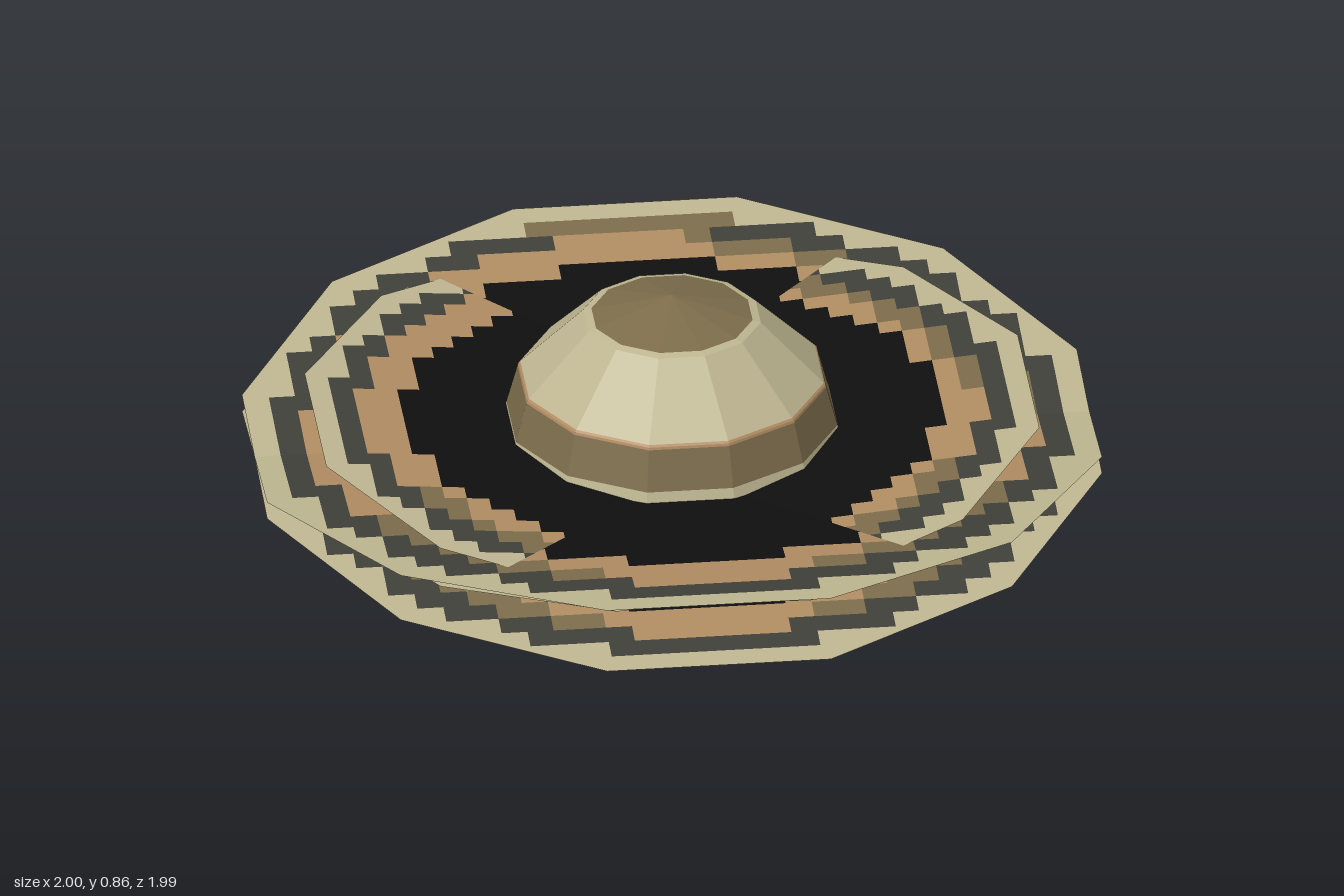
import * as THREE from 'three';

const mat = (name, color) => {
  const m = new THREE.MeshStandardMaterial({ color, side: THREE.DoubleSide });
  m.name = name;
  return m;
};

const R = 0.4275;      // planet radius, also its centre height
const SIDES = 12;
const CELL = 1 / 16;   // size of a square in the ring pattern
const TILT = 0.0825;   // ring tilt in radians

// Planet outline: straight segments between 30 degree steps, bottom to top
const knots = [];
for (let i = 0; i <= 6; i++) {
  const a = (i * Math.PI) / 6;
  knots.push(new THREE.Vector2(R * Math.sin(a), R - R * Math.cos(a)));
}

function pointAt(y) {
  for (let i = 0; i < 6; i++) {
    const a = knots[i], b = knots[i + 1];
    if (y <= b.y + 1e-6) return a.clone().lerp(b, (y - a.y) / (b.y - a.y));
  }
  return knots[6].clone();
}

// One faceted band of the planet between two heights
function planetBand(y0, y1) {
  const inner = knots.filter((k) => k.y > y0 + 1e-4 && k.y < y1 - 1e-4);
  const pts = [pointAt(y0), ...inner, pointAt(y1)];
  const g = new THREE.LatheGeometry(pts, SIDES, Math.PI / SIDES).toNonIndexed();
  g.computeVertexNormals();
  return g;
}

// Cut a polygon of [x, z] corners to the twelve-sided ring outline
function clipToOutline(poly) {
  for (let k = 0; k < SIDES && poly.length; k++) {
    const a = (k * 2 * Math.PI) / SIDES, nx = Math.cos(a), nz = Math.sin(a);
    const out = [];
    poly.forEach((p, i) => {
      const q = poly[(i + 1) % poly.length];
      const dp = p[0] * nx + p[1] * nz - 1, dq = q[0] * nx + q[1] * nz - 1;
      if (dp <= 1e-9) out.push(p);
      if ((dp < -1e-9 && dq > 1e-9) || (dp > 1e-9 && dq < -1e-9)) {
        const t = dp / (dp - dq);
        out.push([p[0] + (q[0] - p[0]) * t, p[1] + (q[1] - p[1]) * t]);
      }
    });
    poly = out;
  }
  return poly;
}

// Colour of a ring square, with x and z counted in squares
function ringColour(x, z) {
  const r = Math.hypot(x, z);
  if (r < 11.95) return 'black';
  const patch = (x > 2 && z < 0) || (Math.abs(x) > 4 && z > 6);
  if (r < 12.9) return 'brown';
  if (r < 13.9) return patch ? 'olive' : 'brown';
  if (r < 15.05) return z < -14 && Math.abs(x) < 4 ? 'olive' : 'dark';
  return 'light';
}

// Flat ring disc made of coloured squares, one geometry per colour
function ringGeometries() {
  const buckets = {};
  for (let i = -16; i < 16; i++) {
    for (let j = -16; j < 16; j++) {
      if (Math.hypot(i + 0.5, j + 0.5) < 4) continue; // hidden in the planet
      const x0 = i * CELL, x1 = x0 + CELL, z0 = j * CELL, z1 = z0 + CELL;
      const poly = clipToOutline([[x0, z0], [x0, z1], [x1, z1], [x1, z0]]);
      const list = (buckets[ringColour(i + 0.5, j + 0.5)] ??= []);
      for (let k = 1; k + 1 < poly.length; k++) {
        for (const p of [poly[0], poly[k], poly[k + 1]]) list.push(p[0], 0, p[1]);
      }
    }
  }
  return Object.entries(buckets).map(([colour, list]) => {
    const g = new THREE.BufferGeometry();
    g.setAttribute('position', new THREE.Float32BufferAttribute(list, 3));
    g.computeVertexNormals();
    return [colour, g];
  });
}

export function createModel() {
  const model = new THREE.Group();
  model.name = 'ringedPlanet';
  const mats = {
    light: mat('paleSand', 0xbeb691),
    brown: mat('warmBrown', 0xb08c62),
    olive: mat('oliveBrown', 0x7c6c4b),
    dark: mat('charcoal', 0x40403a),
    black: mat('black', 0x0f0f0f),
  };

  // Planet bands from the bottom cap to the top cap
  const planet = new THREE.Group();
  planet.name = 'planet';
  const bands = [
    ['bottomCap', 0, 0.055, 'dark'],
    ['lowerPaleBand', 0.055, 0.175, 'light'],
    ['lowerOliveBand', 0.175, 0.265, 'olive'],
    ['middlePaleBand', 0.265, 0.535, 'light'],
    ['upperOliveBand', 0.535, 0.635, 'olive'],
    ['thinBrownBand', 0.635, 0.646, 'brown'],
    ['upperPaleBand', 0.646, 0.803, 'light'],
    ['topCap', 0.803, 2 * R, 'olive'],
  ];
  for (const [name, y0, y1, colour] of bands) {
    const band = new THREE.Mesh(planetBand(y0, y1), mats[colour]);
    band.name = name;
    planet.add(band);
  }
  model.add(planet);

  // Two crossing pairs of tilted ring discs, a large and a smaller pair
  const parts = ringGeometries();
  const addRing = (name, scale, y, axis, tilt) => {
    const ring = new THREE.Group();
    ring.name = name;
    for (const [colour, g] of parts) {
      const m = new THREE.Mesh(g, mats[colour]);
      m.name = name + '_' + colour;
      ring.add(m);
    }
    ring.scale.setScalar(scale);
    ring.position.y = y;
    ring.rotation[axis] = tilt;
    model.add(ring);
  };
  for (const s of [-1, 1]) {
    const side = s < 0 ? 'A' : 'B';
    addRing('outerRing' + side, 1, 0.477, 'x', s * TILT);
    addRing('innerRing' + side, 0.857, 0.497, 'z', s * TILT);
  }
  return model;
}
